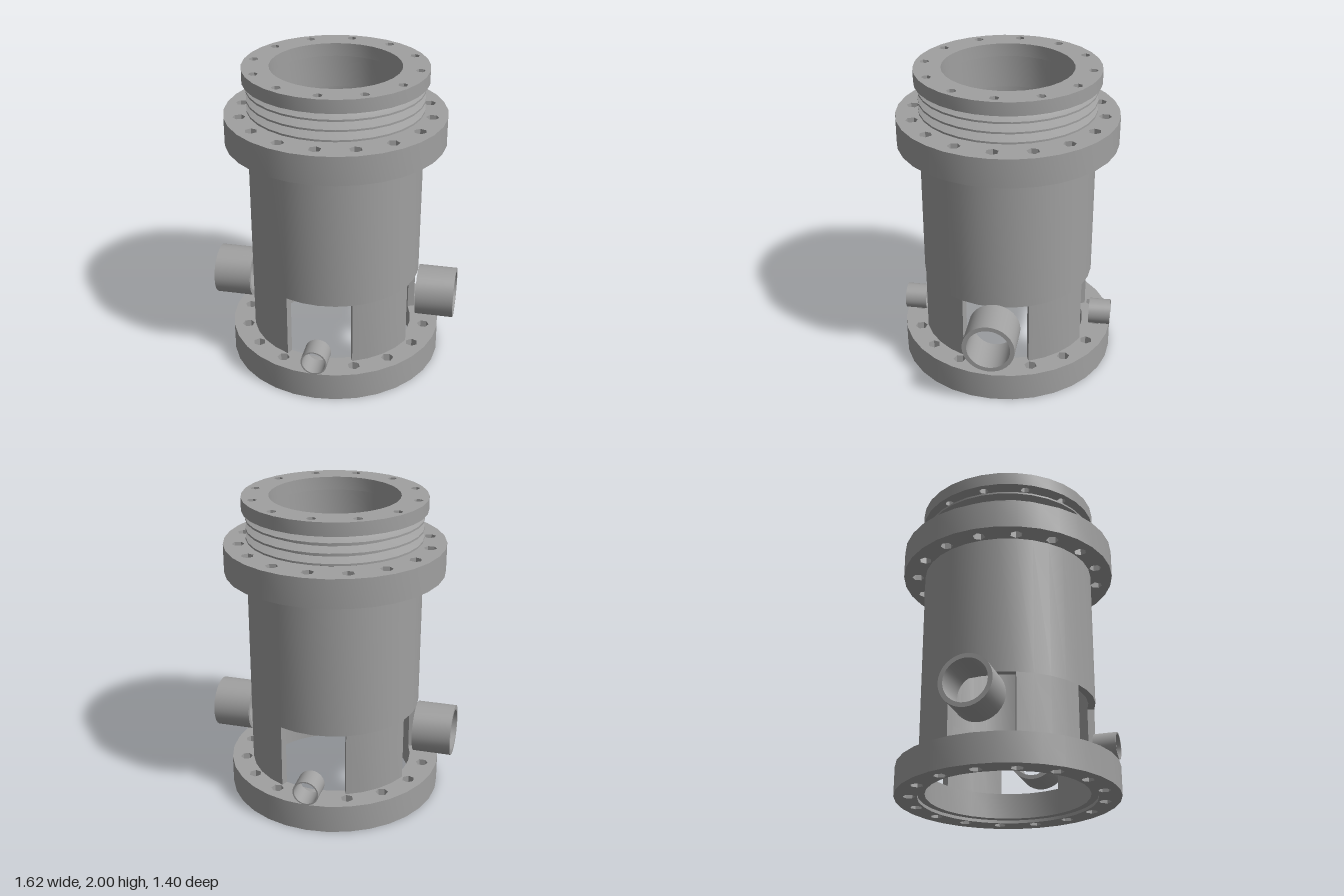
import * as THREE from 'three';
import { toCreasedNormals } from 'three/addons/utils/BufferGeometryUtils.js';

const SIDES = 32;
const BODY_R = 0.557;
const BORE_R = 0.512;
const NECK_R = 0.41;

const steel = new THREE.MeshStandardMaterial({ color: 0xa0a0a0 });
steel.name = 'steel grey';

function addMesh(parent, name, geometry) {
  const mesh = new THREE.Mesh(toCreasedNormals(geometry, 0.45), steel);
  mesh.name = name;
  parent.add(mesh);
  return mesh;
}

// points of a regular polygon or an arc
function arc(r, n, start = 0, sweep = Math.PI * 2, cx = 0, cy = 0) {
  const full = sweep === Math.PI * 2;
  return Array.from({ length: full ? n : n + 1 }, (_, i) => {
    const a = start + (sweep * i) / n;
    return new THREE.Vector2(cx + r * Math.cos(a), cy + r * Math.sin(a));
  });
}

// upright extrusion of a flat outline from y0 to y1
function slab(shape, y0, y1) {
  const g = new THREE.ExtrudeGeometry(shape, { depth: y1 - y0, bevelEnabled: false });
  g.rotateX(-Math.PI / 2);
  g.translate(0, y0, 0);
  return g;
}

// ring with a circle of bolt holes
function boltedRing(outer, inner, y0, y1, count, circleR, holeR) {
  const shape = new THREE.Shape(arc(outer, SIDES));
  shape.holes.push(new THREE.Path(arc(inner, SIDES)));
  for (let i = 0; i < count; i++) {
    const a = (i / count) * Math.PI * 2;
    shape.holes.push(new THREE.Path(
      arc(holeR, 6, a, Math.PI * 2, circleR * Math.cos(a), circleR * Math.sin(a))));
  }
  return slab(shape, y0, y1);
}

// closed profile of [radius, y], outside upwards then inside downwards
function turned(profile, sides = SIDES) {
  const pts = [...profile, profile[0]].map(([r, y]) => new THREE.Vector2(r, y));
  return new THREE.LatheGeometry(pts, sides);
}

function tube(outer, inner, y0, y1, sides = SIDES) {
  return turned([[outer, y0], [outer, y1], [inner, y1], [inner, y0]], sides);
}

export function createModel() {
  const model = new THREE.Group();
  model.name = 'flangedHousing';

  // bottom flange with a slightly recessed liner
  addMesh(model, 'bottomFlange', boltedRing(0.7, BODY_R, 0, 0.187, 16, 0.605, 0.04));
  addMesh(model, 'bottomLiner', tube(BODY_R, BORE_R, 0.02, 0.187));

  // four posts between the windows
  for (let i = 0; i < 4; i++) {
    const start = Math.PI / 8 + (i * Math.PI) / 2;
    const outline = [
      ...arc(BODY_R, 4, start, Math.PI / 4),
      ...arc(BORE_R, 4, start, Math.PI / 4).reverse(),
    ];
    addMesh(model, 'post' + (i + 1), slab(new THREE.Shape(outline), 0.187, 0.61));
  }

  // main barrel and upper flange
  addMesh(model, 'barrel', tube(BODY_R, BORE_R, 0.61, 1.522));
  addMesh(model, 'upperFlange', boltedRing(0.7, NECK_R, 1.522, 1.705, 16, 0.605, 0.04));

  // ribbed neck
  const profile = [[0.485, 1.705]];
  for (const y of [1.738, 1.801, 1.864]) {
    profile.push([0.49, y - 0.028], [BODY_R, y - 0.006], [BODY_R, y + 0.006], [0.49, y + 0.028]);
  }
  profile.push([0.48, 1.9], [0.48, 1.915], [NECK_R, 1.915], [NECK_R, 1.705]);
  addMesh(model, 'ribbedNeck', turned(profile));

  // top ring
  addMesh(model, 'topRing', boltedRing(0.58, NECK_R, 1.915, 2, 12, 0.52, 0.03));

  // side pipes, large on left and right, small on front and back
  for (const s of [1, -1]) {
    const large = addMesh(model, s > 0 ? 'leftPipe' : 'rightPipe', tube(0.165, 0.137, 0.56, 0.808));
    large.rotation.z = -s * Math.PI / 2;
    large.position.y = 0.465;

    const small = addMesh(model, s > 0 ? 'frontPipe' : 'backPipe', tube(0.084, 0.075, 0.56, 0.702));
    small.rotation.x = s * Math.PI / 2;
    small.position.y = 0.272;
  }
  return model;
}
